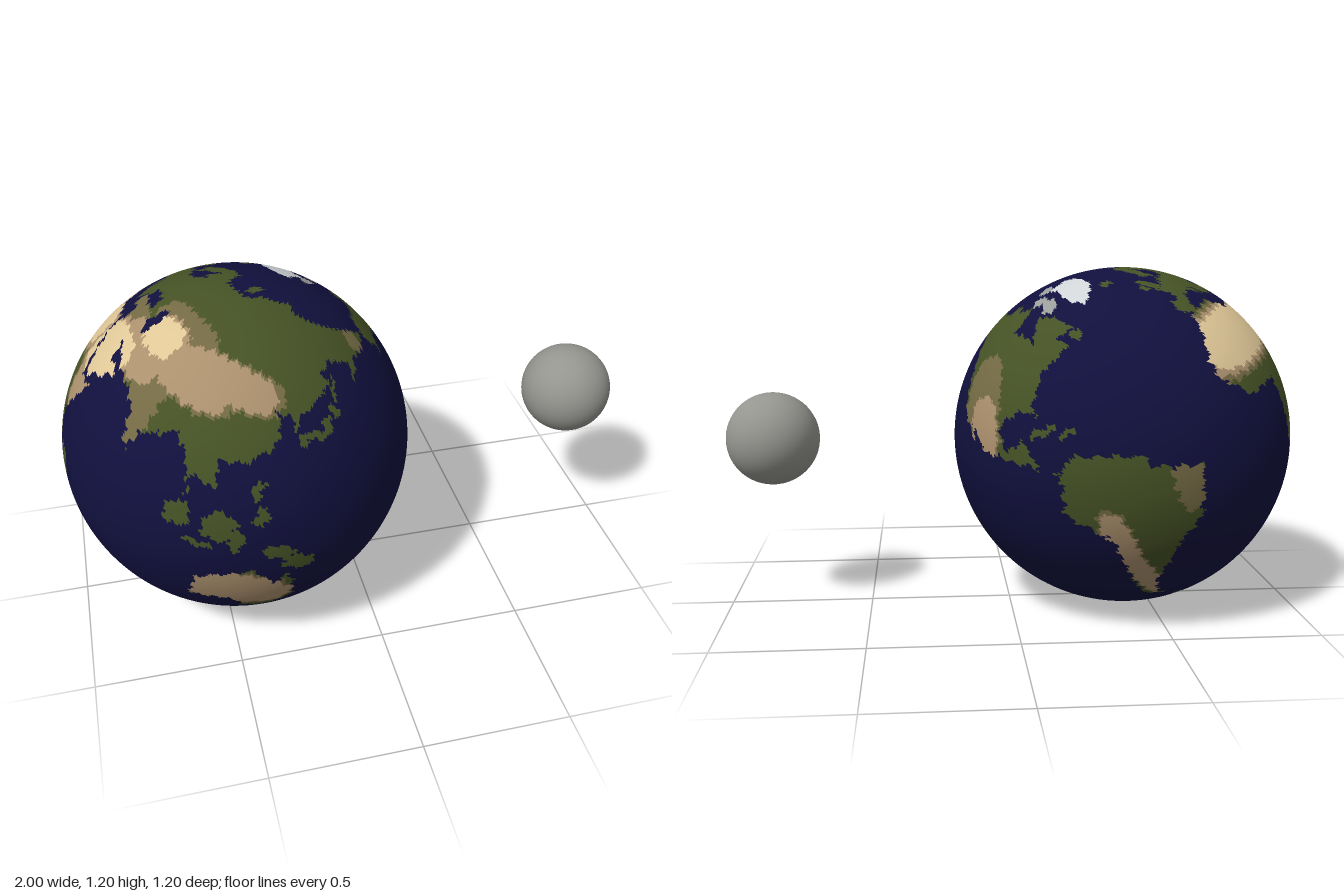
import * as THREE from 'three';

const mat = (name, color) => Object.assign(new THREE.MeshStandardMaterial({ color }), { name });
const MATERIALS = {
  ocean: mat('deep ocean blue', 0x11103e),
  forest: mat('forest green', 0x465225),
  scrub: mat('olive scrub', 0x746a44),
  dryland: mat('dry tan', 0xab906d),
  desert: mat('desert sand', 0xdfc797),
  ice: mat('ice white', 0xd0d4d7),
  frost: mat('frost grey', 0x9c9e9c),
  moon: mat('moon grey', 0x959590),
};

// Simplified coasts: longitude, latitude corners
const eurasia = [
  -9, 37, -9, 43, -1, 44, -4, 48.5, 8, 54, 20, 54.5, 29, 60, 22, 61, 24, 65.5, 17, 61, 13, 55.5, 6, 58.5, 14, 68,
  26, 71, 41, 67, 68, 69, 72, 73, 104, 77.5, 113, 74, 180, 69, 190, 66, 178, 62.5, 163, 60, 157, 51, 157, 59,
  143, 59, 136, 54.5, 141, 52, 128, 39.5, 128, 35, 125, 39.5, 118, 39, 122, 37, 122, 30, 114, 22.3, 106, 20,
  109, 12, 100, 13.5, 103, 1.5, 98, 16, 91, 22.5, 80, 15, 77.5, 8, 72, 21, 57, 26, 49, 30, 52, 24.5, 59.5, 22.5,
  45, 13, 35, 28, 36, 36.5, 27, 37, 28, 41, 22.5, 36.5, 13, 45.5, 17, 39, 10, 44, 3, 42.5, -2, 36.8];
const africa = [
  -6, 36, 10, 37.3, 19, 30.5, 32.5, 31, 43, 11.5, 51, 12, 39, -5, 40.5, -15, 35, -21, 27, -34, 19, -34.8,
  12, -16, 9, 4.3, -7.5, 4.5, -17, 14.5, -16.5, 21];
const northAmerica = [
  -168, 66, -156, 71, -128, 70, -85, 69.5, -94, 59, -82, 55, -79, 51.5, -77, 62.5, -65, 60, -56, 52, -66, 50,
  -61, 46, -74, 40.5, -81, 31.5, -80, 26, -84, 30, -97, 28, -95, 18.5, -87, 21, -83.5, 10.5, -77.5, 8,
  -94, 16, -105, 20, -114, 31, -110, 23, -121, 35, -124, 48, -135, 59, -150, 60.5, -165, 54.5, -158, 59, -165, 61];
const southAmerica = [
  -77.5, 8, -72, 12, -52, 5, -50, 0, -35, -6, -41, -22, -48, -26, -65, -42, -69, -51, -66, -55, -75, -50,
  -70.5, -18.5, -81, -5];
const australia = [114, -22, 130, -12, 140, -17.5, 142, -11, 153, -26, 149, -38, 140, -38, 131, -31.5, 115, -34.5];
const greenland = [-73, 78, -32, 83.5, -18, 80, -25, 70, -44, 60, -53, 66, -58, 75];
const land = [eurasia, africa, northAmerica, southAmerica, australia];

// Ovals: centre lon, lat, half width, half height
const islands = [
  [-2, 53, 3, 3], [-4, 57, 2, 2], [-8, 53.5, 2, 2], [-19, 65, 5, 1.6], // north-west Europe
  [131, 33, 2, 1.5], [136, 35.5, 4, 1.3], [140, 38.5, 2, 3], [143, 43.3, 2.5, 1.5], [143, 50, 1, 4], // east Asia
  [121, 16, 1.5, 3], [125, 8, 2, 3], [114, 1, 5, 5], [101, 0, 4, 4], [110, -7.3, 5, 1], [121, -2, 2, 4], // south-east Asia
  [135, -3, 5, 2.5], [143, -6, 5, 3], [146.5, -42, 2, 1.5], [175.5, -39, 2, 2.5], [170, -44, 3, 2],
  [47, -19, 3, 6], [-79, 21.7, 5, 1.2], [-71, 19, 3, 1], [-56, 49, 3, 2], [-111, 71, 7, 2], [59, 73.5, 5, 2.5]];
const seas = [[34.5, 43.5, 6.5, 2.3], [51, 41.5, 2.5, 5]];
const frosted = [[-63, -69, 5, 6], [-105, -77, 28, 4], [-68, 67, 6, 4], [-79, 72, 8, 2.5], [-78, 80, 12, 3]];

// Dry regions: an oval and its driest level (1 scrub, 2 dry, 3 desert)
const dryRegions = [
  [8, 23, 33, 13, 3], [47, 23, 17, 14, 3], [58, 33, 18, 9, 2], [62, 41, 13, 8, 3], [97, 42, 24, 7, 2],
  [86, 38, 18, 9, 2], [74, 22, 7, 14, 1], [65, 47, 20, 6, 1], [44, 7, 8, 9, 2], [22, -24, 11, 11, 1],
  [129, -25, 19, 11, 2], [143, -26, 8, 8, 2], [-108, 38, 12, 14, 1], [-106, 28, 9, 11, 2], [-69, -21, 5, 14, 2],
  [-68, -41, 5, 13, 2], [-41, -10, 5, 9, 1], [36, 39, 9, 3, 1], [174, 66, 8, 4, 1]];

function inside(p, x, y) {
  let hit = false;
  for (let i = 0, j = p.length - 2; i < p.length; j = i, i += 2) {
    if ((p[i + 1] > y) !== (p[j + 1] > y) &&
      x < (p[j] - p[i]) * (y - p[i + 1]) / (p[j + 1] - p[i + 1]) + p[i]) hit = !hit;
  }
  return hit;
}
// Distance from the centre of a squarish oval, 1 on its rim
const reach = ([cx, cy, rx, ry], x, y) => Math.cbrt(Math.abs((x - cx) / rx) ** 3 + Math.abs((y - cy) / ry) ** 3);

// Which surface lies at a place on the globe
function surfaceAt(lon, lat) {
  // A slight wobble roughens the coasts
  const x = lon + 0.7 * Math.sin(lat * 1.3) + 0.4 * Math.sin(lat * 3.1 + lon);
  const y = lat + 0.6 * Math.sin(lon * 1.1) + 0.3 * Math.sin(lon * 2.7 + lat);
  const inOval = list => list.some(o => reach(o, x, y) < 1);
  const east = THREE.MathUtils.degToRad(lon - 85);
  const polarCoast = -74 + 6 * Math.cos(east) + 3 * Math.cos(2 * east);
  if (y < polarCoast || inOval(frosted)) return 'frost';
  if (inside(greenland, x, y)) return 'ice';
  const farEast = x < -165 && inside(eurasia, x + 360, y);
  if (inOval(seas) || !(farEast || inOval(islands) || land.some(p => inside(p, x, y)))) return 'ocean';
  let level = 0;
  for (const region of dryRegions) {
    level = Math.max(level, Math.min(region[4], Math.ceil((1 - reach(region, x, y)) * 8)));
  }
  return ['forest', 'scrub', 'dryland', 'desert'][level];
}

// Outward direction of a place, with longitude 130 facing the front
function direction(lon, lat) {
  const a = THREE.MathUtils.degToRad(lon - 130), b = THREE.MathUtils.degToRad(lat);
  return [Math.sin(a) * Math.cos(b), Math.sin(b), Math.cos(a) * Math.cos(b)];
}

// Globe: one-degree faces sorted into one mesh for each surface
function createGlobe(radius) {
  const normals = {};
  const addFace = (...corners) => {
    const lon = corners.reduce((s, c) => s + c[0], 0) / 3, lat = corners.reduce((s, c) => s + c[1], 0) / 3;
    const list = (normals[surfaceAt(lon, lat)] ??= []);
    for (const c of corners) list.push(...direction(...c));
  };
  for (let lat = -90; lat < 90; lat++) {
    for (let lon = -180; lon < 180; lon++) {
      const a = [lon, lat], b = [lon + 1, lat], c = [lon + 1, lat + 1], d = [lon, lat + 1];
      if (lat > -90) addFace(a, b, d);
      if (lat < 89) addFace(lat > -90 ? b : a, c, d);
    }
  }
  const globe = new THREE.Group();
  globe.name = 'globe';
  for (const [name, n] of Object.entries(normals)) {
    const geometry = new THREE.BufferGeometry();
    geometry.setAttribute('position', new THREE.Float32BufferAttribute(n.map(v => v * radius), 3));
    geometry.setAttribute('normal', new THREE.Float32BufferAttribute(n, 3));
    const mesh = new THREE.Mesh(geometry, MATERIALS[name]);
    mesh.name = name;
    globe.add(mesh);
  }
  return globe;
}

export function createModel() {
  const model = new THREE.Group();
  model.name = 'planetAndMoon';
  const globe = createGlobe(0.598);
  globe.position.set(-0.402, 0.598, 0);
  globe.rotation.z = -THREE.MathUtils.degToRad(23.5);
  const moon = new THREE.Mesh(new THREE.SphereGeometry(0.163, 48, 32), MATERIALS.moon);
  moon.name = 'moon';
  moon.position.set(0.837, 0.6, 0);
  model.add(globe, moon);
  return model;
}
